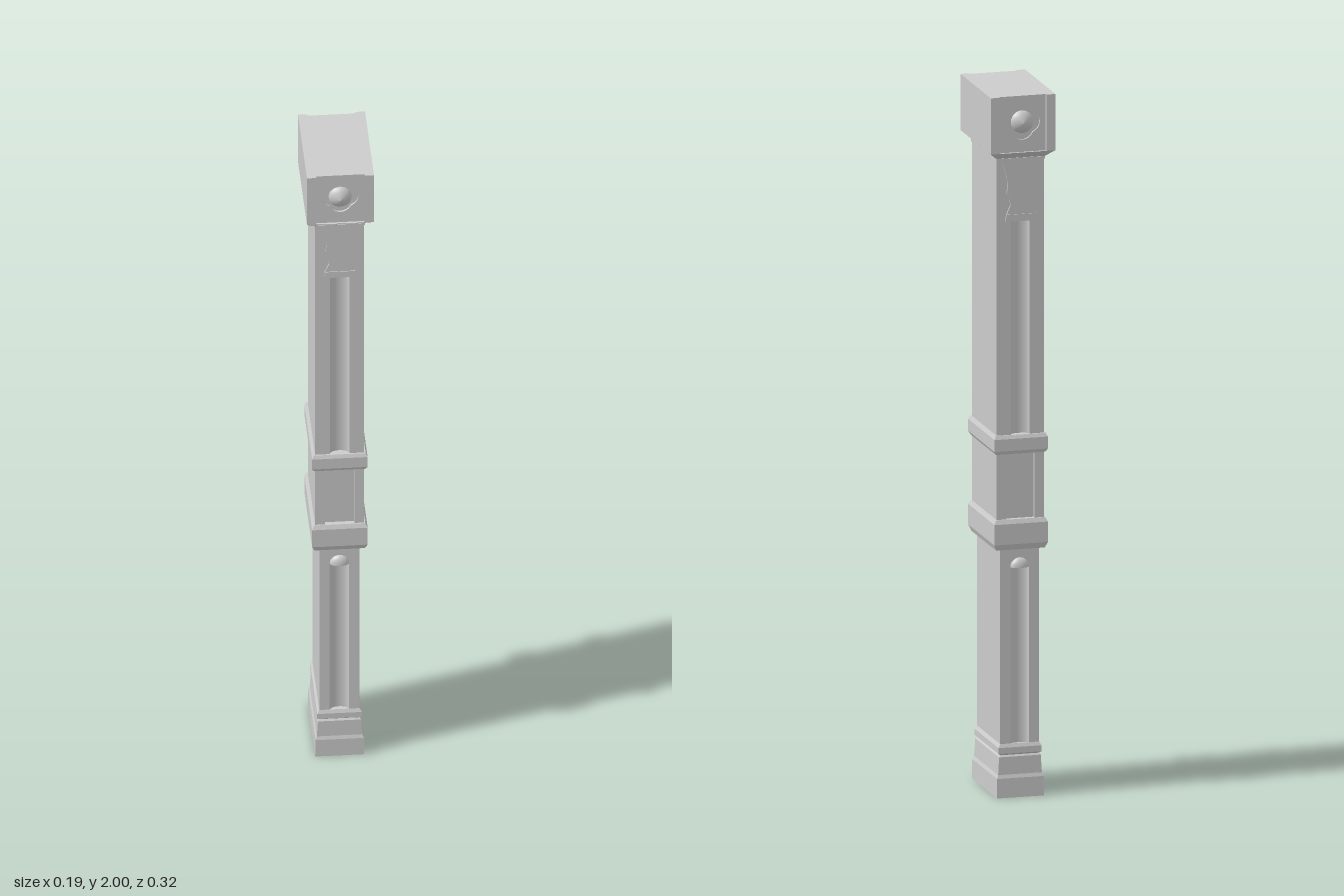
import * as THREE from 'three';

const material = new THREE.MeshStandardMaterial({ color: 0xcccccc, side: THREE.DoubleSide });

function addMesh(parent, name, geometry, x = 0, y = 0, z = 0) {
  const mesh = new THREE.Mesh(geometry, material);
  mesh.name = name;
  mesh.position.set(x, y, z);
  parent.add(mesh);
  return mesh;
}

// Stacked rectangular rings [y, halfX, halfZ], joined by flat faces; open at the bottom.
function ringStack(rings, closeTop = false) {
  const pos = [];
  const corners = ([y, hx, hz]) => [[hx, y, hz], [hx, y, -hz], [-hx, y, -hz], [-hx, y, hz]];
  const quad = (a, b, c, d) => pos.push(...a, ...b, ...c, ...a, ...c, ...d);
  for (let i = 0; i < rings.length - 1; i++) {
    const lo = corners(rings[i]), hi = corners(rings[i + 1]);
    for (let k = 0; k < 4; k++) {
      const n = (k + 1) % 4;
      quad(lo[k], lo[n], hi[n], hi[k]);
    }
  }
  if (closeTop) quad(...corners(rings[rings.length - 1]));
  const geometry = new THREE.BufferGeometry();
  geometry.setAttribute('position', new THREE.Float32BufferAttribute(pos, 3));
  geometry.computeVertexNormals();
  return geometry;
}

function rectangle(hx, y0, y1, Type = THREE.Shape) {
  const s = new Type();
  s.moveTo(-hx, y0).lineTo(hx, y0).lineTo(hx, y1).lineTo(-hx, y1).closePath();
  return s;
}

// Rectangle with a semicircular head ending at y1
function arch(hx, y0, y1) {
  const p = new THREE.Path();
  p.moveTo(-hx, y0).lineTo(hx, y0).lineTo(hx, y1 - hx);
  p.absarc(0, y1 - hx, hx, 0, Math.PI, false);
  p.lineTo(-hx, y0);
  return p;
}

// Four overlapping lobes around a centre
function quatrefoil(cy, radius) {
  const points = [];
  for (let i = 0; i < 64; i++) {
    const a = (i / 64) * Math.PI * 2;
    const r = radius * (0.84 + 0.16 * Math.abs(Math.cos(2 * a)));
    points.push(new THREE.Vector2(r * Math.cos(a), cy + r * Math.sin(a)));
  }
  return new THREE.Path(points);
}

function plate(shape, depth, hole) {
  if (hole) shape.holes.push(hole);
  return new THREE.ExtrudeGeometry(shape, { depth, bevelEnabled: false, curveSegments: 16 });
}

// Concave half-round channel, optionally closed by a quarter-sphere head
function addFlute(parent, name, r, depth, y0, y1, z, rounded) {
  const top = rounded ? y1 - r : y1;
  const channel = new THREE.CylinderGeometry(r, r, top - y0, 20, 1, true, Math.PI / 2, Math.PI);
  addMesh(parent, name, channel, 0, (top + y0) / 2, z).scale.z = depth / r;
  if (rounded) {
    const head = new THREE.SphereGeometry(r, 20, 8, Math.PI, Math.PI, 0, Math.PI / 2);
    addMesh(parent, name + 'Head', head, 0, top, z).scale.z = -depth / r;
  }
}

// Ornament of one narrow face, built towards +z
function createFace() {
  const face = new THREE.Group();

  // Lower shaft with round-headed flute
  addMesh(face, 'lowerPanel', plate(rectangle(0.056, 0.13, 0.72), 0.02, arch(0.027, 0.15, 0.68)), 0, 0, 0.095);
  addFlute(face, 'lowerFlute', 0.027, 0.016, 0.15, 0.68, 0.115, true);

  // Middle block with sunk panel
  addMesh(face, 'middlePanel',
    plate(rectangle(0.068, 0.75, 1.0), 0.01, rectangle(0.041, 0.77, 0.99, THREE.Path)), 0, 0, 0.112);

  // Upper shaft with long flute
  addMesh(face, 'upperPanel',
    plate(rectangle(0.068, 1.0, 1.82), 0.02, rectangle(0.027, 1.02, 1.64, THREE.Path)), 0, 0, 0.102);
  addFlute(face, 'upperFlute', 0.027, 0.016, 1.02, 1.64, 0.122, false);

  // Carved bracket beneath the capital
  const half = [[0.044, 1.64], [0.041, 1.66], [0.03, 1.685], [0.031, 1.70], [0.04, 1.72],
    [0.037, 1.75], [0.044, 1.78], [0.05, 1.8], [0.06, 1.82]];
  const right = half.map(([x, y]) => new THREE.Vector2(x, y));
  const left = half.map(([x, y]) => new THREE.Vector2(-x, y)).reverse();
  addMesh(face, 'bracket', plate(new THREE.Shape([...right, ...left]), 0.005), 0, 0, 0.122);
  addMesh(face, 'bracketLip', new THREE.BoxGeometry(0.084, 0.02, 0.006), 0, 1.65, 0.126);

  // Capital: raised side strips, foiled panel and central boss
  for (const side of [-1, 1]) {
    addMesh(face, 'capitalStrip', new THREE.BoxGeometry(0.026, 0.16, 0.013), side * 0.08, 1.92, 0.1435);
  }
  addMesh(face, 'capitalPanel', plate(rectangle(0.067, 1.84, 2), 0.006, quatrefoil(1.925, 0.05)), 0, 0, 0.137);
  const profile = [[0.032, 0], [0.031, 0.007], [0.022, 0.014], [0.011, 0.02], [0, 0.023]];
  const boss = new THREE.LatheGeometry(profile.map(([x, y]) => new THREE.Vector2(x, y)), 24);
  addMesh(face, 'boss', boss.rotateX(Math.PI / 2), 0, 1.925, 0.137);
  return face;
}

export function createModel() {
  const model = new THREE.Group();
  model.name = 'pillar';

  // Hollow base and its moulding
  addMesh(model, 'base', ringStack([
    [0, 0.068, 0.124], [0.055, 0.067, 0.123], [0.065, 0.063, 0.119], [0.115, 0.06, 0.118],
    [0.12, 0.056, 0.114], [0.125, 0.062, 0.12], [0.142, 0.062, 0.12], [0.152, 0.056, 0.115],
  ]));

  // Plain cores behind the ornamented faces
  addMesh(model, 'lowerShaft', ringStack([[0.13, 0.056, 0.095], [0.72, 0.056, 0.095]]));
  addMesh(model, 'middleBlock', ringStack([[0.75, 0.068, 0.112], [1.0, 0.068, 0.112]]));
  addMesh(model, 'upperShaft', ringStack([[1.0, 0.068, 0.102], [1.82, 0.068, 0.102]]));

  // Projecting bands
  addMesh(model, 'lowerBand', ringStack([
    [0.705, 0.05, 0.09], [0.705, 0.07, 0.123], [0.722, 0.077, 0.131],
    [0.78, 0.077, 0.131], [0.792, 0.071, 0.125], [0.792, 0.05, 0.09],
  ]));
  addMesh(model, 'upperBand', ringStack([
    [0.978, 0.05, 0.09], [0.978, 0.071, 0.125], [0.988, 0.077, 0.131],
    [1.022, 0.077, 0.131], [1.032, 0.072, 0.126], [1.032, 0.05, 0.09],
  ]));

  // Capital block with bevelled underside
  addMesh(model, 'capital', ringStack([
    [1.812, 0.06, 0.1], [1.812, 0.07, 0.125], [1.82, 0.07, 0.125], [1.84, 0.093, 0.15],
    [1.84, 0.093, 0.137], [2, 0.093, 0.137],
  ], true));

  // Matching ornament on front and back
  const front = createFace();
  front.name = 'frontFace';
  const back = createFace();
  back.name = 'backFace';
  back.rotation.y = Math.PI;
  model.add(front, back);
  return model;
}
